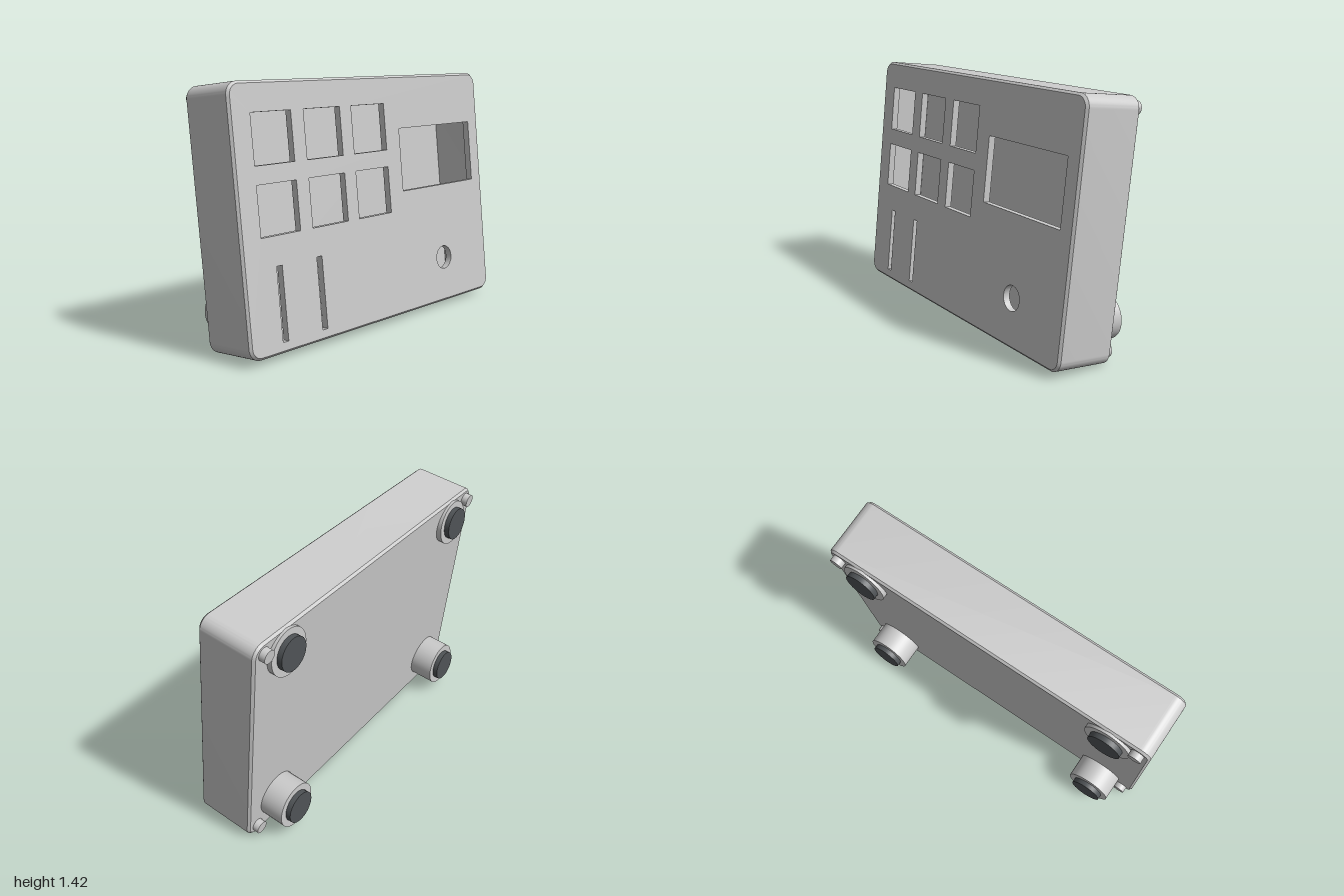
import * as THREE from 'three';
import { toCreasedNormals } from 'three/addons/utils/BufferGeometryUtils.js';

const W = 2, H = 1.395, D = 0.348;          // case size
const TILT = 0.109, CY = 0.709, CZ = 0.021; // lean and centre of the case
const R = 0.07, CHAMFER = 0.013, WALL = 0.04;

const grey = new THREE.MeshStandardMaterial({ color: 0xcccccc });
const rubber = new THREE.MeshStandardMaterial({ color: 0x4f5356 });

function mesh(name, geometry, material = grey) {
  const m = new THREE.Mesh(geometry, material);
  m.name = name;
  return m;
}

// Rounded outline of the case, shrunk by an inset
function outline(inset) {
  const x = W / 2 - R, y = H / 2 - R, r = R - inset, q = Math.PI / 2;
  const s = new THREE.Shape();
  s.absarc(x, y, r, 0, q);
  s.absarc(-x, y, r, q, 2 * q);
  s.absarc(-x, -y, r, 2 * q, 3 * q);
  s.absarc(x, -y, r, 3 * q, 4 * q);
  return s;
}

// Joins outlines given as [inset, z] into a band
function band(sections) {
  const pos = [], index = [];
  let n = 0;
  for (const [inset, z] of sections) {
    const pts = outline(inset).getPoints(8);
    n = pts.length;
    for (const p of pts) pos.push(p.x, p.y, z);
  }
  for (let s = 0; s < sections.length - 1; s++) {
    for (let i = 0; i < n; i++) {
      const a = s * n + i, b = s * n + (i + 1) % n;
      index.push(a, a + n, b, b, a + n, b + n);
    }
  }
  const g = new THREE.BufferGeometry();
  g.setAttribute('position', new THREE.Float32BufferAttribute(pos, 3));
  g.setIndex(index);
  return toCreasedNormals(g, 0.5);
}

// Heights on the front face, measured along the leaning case
const faceY = (y) => (y - 0.728) / Math.cos(TILT);

function rectHole(x0, x1, y0, y1) {
  const a = faceY(y0), b = faceY(y1);
  return new THREE.Path([[x0, a], [x0, b], [x1, b], [x1, a]].map((p) => new THREE.Vector2(...p)));
}

function panel(holes) {
  const shape = outline(CHAMFER);
  shape.holes.push(...holes);
  const g = new THREE.ExtrudeGeometry(shape, { depth: WALL, bevelEnabled: false, curveSegments: 8 });
  return toCreasedNormals(g, 0.5);
}

// Cylinder along z between two depths
function rod(radius, z0, z1) {
  return new THREE.CylinderGeometry(radius, radius, z1 - z0, 48)
    .rotateX(Math.PI / 2).translate(0, 0, (z0 + z1) / 2);
}

export function createModel() {
  const model = new THREE.Group();
  model.name = 'tiltedControlBox';

  const box = new THREE.Group();
  box.name = 'case';
  box.position.set(0, CY, CZ);
  box.rotation.x = -TILT;
  model.add(box);

  // Hollow case walls with chamfered edges
  const h = D / 2;
  box.add(mesh('outerWalls', band([[CHAMFER, h], [0, h - CHAMFER], [0, CHAMFER - h], [CHAMFER, -h]])));
  box.add(mesh('innerWalls', band([[WALL, WALL - h], [WALL, h - WALL]])));

  // Front panel openings: key windows, slider slots, display window, knob hole
  const holes = [];
  for (const x of [-0.87, -0.513, -0.156]) {
    for (const y of [1.0, 0.64]) holes.push(rectHole(x, x + 0.268, y, y + 0.264));
  }
  for (const x of [-0.786, -0.504]) holes.push(rectHole(x, x + 0.038, 0.092, 0.485));
  holes.push(rectHole(0.23, 0.9, 0.75, 1.115));
  const knob = new THREE.Path();
  knob.absarc(0.565, faceY(0.303), 0.071, 0, Math.PI * 2, true);
  holes.push(knob);
  const front = mesh('frontPanel', panel(holes));
  front.position.z = h - WALL;
  box.add(front);

  const back = mesh('backPanel', panel([]));
  back.position.z = -h;
  box.add(back);

  for (const side of [-1, 1]) {
    // Screws in the back corners
    for (const end of [-1, 1]) {
      const screw = mesh('screw', rod(0.037, -h - 0.036, -h + 0.02));
      screw.position.set(side * 0.93, end * 0.635, 0);
      box.add(screw);
    }
    // Foot posts square to the case, cut upright, with rubber pads
    for (const [y, inner] of [[0.173, -0.07], [1.24, -0.185]]) {
      const foot = new THREE.Group();
      foot.name = 'foot';
      foot.position.set(side * 0.77, y, 0);
      const post = rod(0.132, -0.24, inner);
      const p = post.attributes.position;
      for (let i = 0; i < p.count; i++) {
        p.setY(i, p.getY(i) + Math.tan(TILT) * (p.getZ(i) + 0.24));
      }
      foot.add(mesh('footPost', post));
      foot.add(mesh('rubberPad', rod(0.094, -0.27, -0.235), rubber));
      model.add(foot);
    }
  }
  return model;
}
